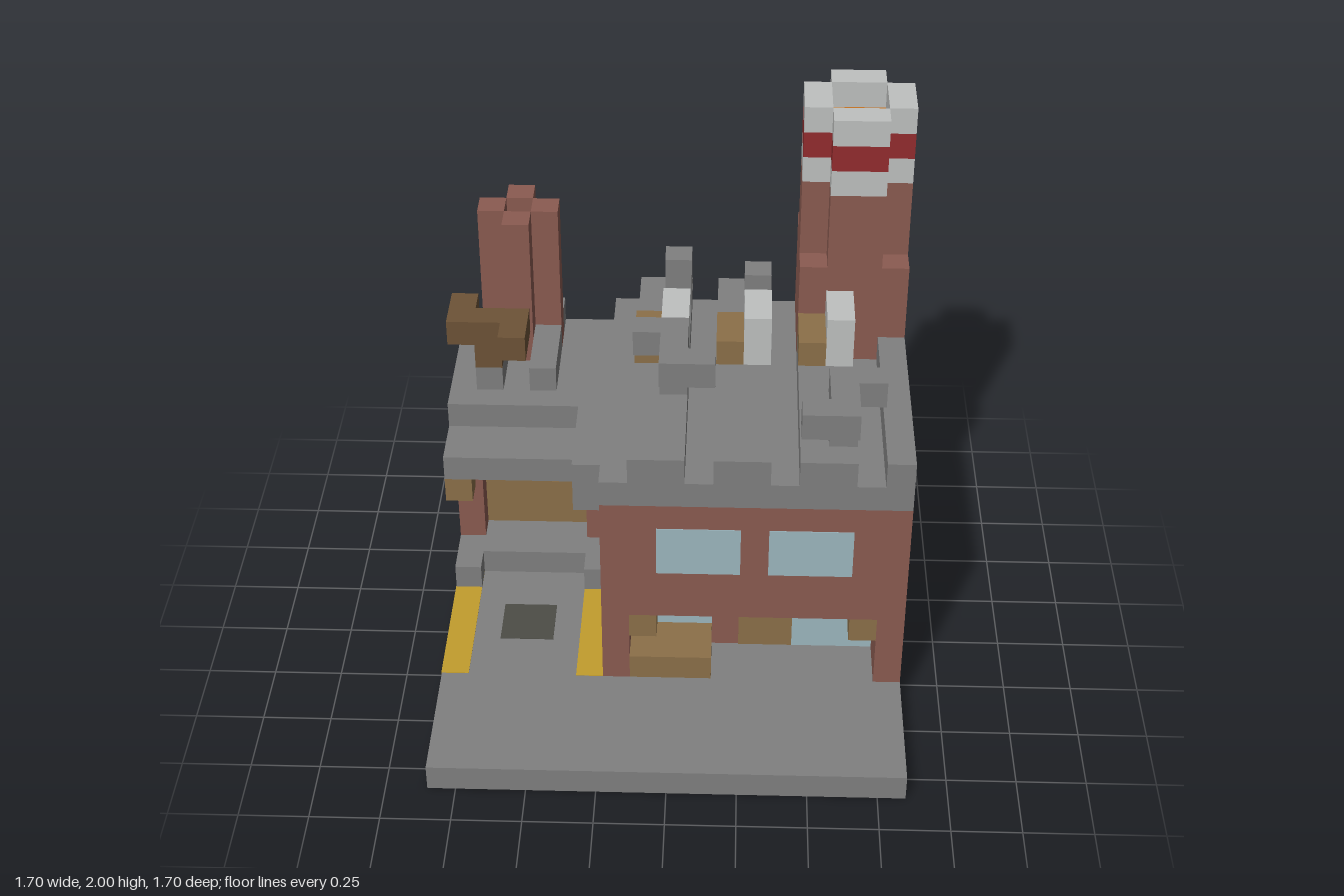
import * as THREE from 'three';

function mat(name, color) {
  const m = new THREE.MeshStandardMaterial({ color });
  m.name = name;
  return m;
}

export function createModel() {
  const root = new THREE.Group();
  root.name = 'factory';
  const grey = mat('concrete grey', 0x808080), brick = mat('brick', 0x8b5b51);
  const glass = mat('glass blue', 0x9db7bf), tan = mat('tan wood', 0x8c7049);
  const pale = mat('pale grey', 0xbfc1c0), red = mat('stripe red', 0x932c2e);
  const yellow = mat('line yellow', 0xc29d2d), orange = mat('glow orange', 0xc47222);
  const dark = mat('drain grey', 0x4d4d47), brown = mat('dark brown', 0x6d5337);

  // Box from its extents along x, y and z
  function box(name, m, x0, x1, y0, y1, z0, z1, parent = root) {
    const mesh = new THREE.Mesh(new THREE.BoxGeometry(x1 - x0, y1 - y0, z1 - z0), m);
    mesh.position.set((x0 + x1) / 2, (y0 + y1) / 2, (z0 + z1) / 2);
    mesh.name = name;
    parent.add(mesh);
    return mesh;
  }
  const group = (name) => {
    const g = new THREE.Group();
    g.name = name;
    root.add(g);
    return g;
  };
  const e = 0.002;

  // Ground slab with inlaid markings and floors that show underneath
  box('groundSlab', grey, -0.85, 0.85, 0, 0.1, -0.85, 0.85);
  box('outerYellowLine', yellow, -0.85 - e, -0.75, -e, 0.1 + e, -0.45, 0.35);
  box('innerYellowLine', yellow, -0.35, -0.25, -e, 0.1 + e, -0.45, 0.35);
  box('drainCover', dark, -0.65, -0.45, -e, 0.1 + e, -0.05, 0.15);
  box('hallFloor', brown, -0.25, 0.75, -e, 0.05, -0.75, 0.05);
  box('wingFloor', brown, -0.75, -0.25, -e, 0.05, -0.75, -0.45);
  box('dockFooting', tan, -0.15, 0.15, -e, 0.05, 0.05, 0.35);
  box('chimneyFooting', brick, 0.45, 0.75, -2 * e, 0.05, -0.75, -0.45);

  // Main hall with a recessed ground-floor front
  const hall = group('mainHall');
  box('hallBody', brick, -0.25, 0.85, 0.1, 0.9, -0.85, 0.15, hall);
  box('upperFront', brick, -0.25, 0.85, 0.4, 0.9, 0.15, 0.35, hall);
  box('leftPier', brick, 0.75, 0.85, 0.1, 0.4, 0.15, 0.35, hall);
  box('rightPier', brick, -0.25, -0.15, 0.1, 0.4, 0.15, 0.35, hall);
  for (const x of [-0.05, 0.35]) box('upperWindow', glass, x, x + 0.3, 0.6, 0.8, 0.348, 0.353, hall);
  for (const [x0, x1] of [[-0.15, 0.15], [0.45, 0.75]])
    box('shopWindow', glass, x0, x1, 0.1, 0.4, 0.148, 0.153, hall);
  box('transom', glass, 0.15, 0.45, 0.3, 0.4, 0.148, 0.153, hall);
  box('hallDoor', tan, 0.25, 0.45, 0.1, 0.3, 0.148, 0.153, hall);
  box('loadingDock', tan, -0.15, 0.15, 0.1, 0.2, 0.15, 0.35, hall);
  for (const x of [-0.15, 0.65]) box('openingBracket', tan, x, x + 0.1, 0.3, 0.4, 0.25, 0.35, hall);

  // Hall roof, its ribs and side overhang
  const roof = group('hallRoof');
  box('roofSlab', grey, -0.25, 0.45, 0.9, 1.0, -0.85, 0.35, roof);
  box('roofSlabFront', grey, 0.45, 0.85, 0.9, 1.0, -0.45, 0.35, roof);
  for (const [x0, x1, z0] of [[-0.15, 0.05, -0.85], [0.15, 0.35, -0.85], [0.45, 0.65, -0.45], [0.75, 0.85, -0.45]])
    box('roofRib', grey, x0, x1, 1.0, 1.1, z0, 0.35, roof);
  box('sideOverhang', grey, -0.35, -0.25, 0.8, 1.0, -0.35, 0.25, roof);

  // Roof vents: a low tan box beside a tall pale box
  for (const x of [-0.15, 0.15, 0.45]) {
    box('ventBox', tan, x, x + 0.1, 1.1, 1.2, -0.45, -0.25, roof);
    box('ventTower', pale, x + 0.1, x + 0.2, 1.1, 1.3, -0.45, -0.25, roof);
  }
  box('ventPost', grey, -0.05, 0.05, 1.1, 1.3, -0.75, -0.65, roof);
  box('ventPost', grey, 0.25, 0.35, 1.1, 1.3, -0.65, -0.55, roof);

  // Z-shaped roof ducts on a single leg; s flips the bend
  function duct(x, z, s) {
    const g = group('roofDuct');
    const tip = (dx, dz) => box('ductEnd', grey, x + dx - 0.05, x + dx + 0.05, 1.2, 1.3, z + dz - 0.05, z + dz + 0.05, g);
    box('ductRun', grey, x - 0.05, x + 0.05, 1.2, 1.3, z - 0.15, z + 0.15, g);
    tip(0.1, s * 0.1);
    tip(-0.1, -s * 0.1);
    box('ductLeg', grey, x - 0.05, x + 0.05, 1.1, 1.2, z - 0.05, z + 0.05, g);
  }
  duct(0, -0.1, 1);
  duct(0.6, 0.2, -1);

  // Side wing
  const wing = group('sideWing');
  box('wingBody', brick, -0.85, -0.25, 0.1, 0.8, -0.85, -0.45, wing);
  box('wingPier', brick, -0.85, -0.75, 0.1, 0.8, -0.45, -0.35, wing);
  box('wingPier', brick, -0.35, -0.25, 0.1, 0.8, -0.45, -0.35, wing);
  box('wingLintel', brick, -0.75, -0.35, 0.6, 0.8, -0.45, -0.35, wing);
  box('wingDoor', tan, -0.75, -0.35, 0.2, 0.4, -0.452, -0.447, wing);
  box('wingDoorTop', tan, -0.75, -0.55, 0.4, 0.5, -0.452, -0.447, wing);
  box('awning', pale, -0.75, -0.35, 0.5, 0.6, -0.45, -0.35, wing);
  box('wingStep', grey, -0.75, -0.35, 0.1, 0.2, -0.45, -0.25, wing);
  for (const x of [-0.85, -0.35]) {
    box('stepBlock', grey, x, x + 0.1, 0.1, 0.2, -0.35, -0.15, wing);
    box('eaveBracket', tan, x, x + 0.1, 0.6, 0.7, -0.15, -0.05, wing);
  }
  box('wingEave', grey, -0.85, -0.25, 0.7, 0.8, -0.35, -0.05, wing);
  box('wingRoof', grey, -0.85, -0.25, 0.8, 0.9, -0.85, -0.25, wing);
  for (const x of [-0.75, -0.55]) box('wingRoofRib', grey, x, x + 0.1, 0.9, 1.0, -0.85, -0.35, wing);

  // Bent brown pipe on the wing roof
  const pipe = group('brownPipe');
  box('pipeLeg', brown, -0.75, -0.65, 1.0, 1.1, -0.45, -0.35, pipe);
  box('pipeRun', brown, -0.85, -0.55, 1.1, 1.2, -0.45, -0.35, pipe);
  box('pipeEnd', brown, -0.85, -0.75, 1.1, 1.2, -0.55, -0.45, pipe);
  box('pipeEnd', brown, -0.65, -0.55, 1.1, 1.2, -0.35, -0.25, pipe);

  // Four walls in a cross around a square flue of half-width h
  function flue(name, m, x, z, h, y0, y1, parent) {
    for (const s of [-1, 1]) {
      const c = s * (h + 0.05);
      box(name, m, x + c - 0.05, x + c + 0.05, y0, y1, z - h, z + h, parent);
      box(name, m, x - h, x + h, y0, y1, z + c - 0.05, z + c + 0.05, parent);
    }
  }

  // Small chimney on the wing
  const small = group('smallChimney');
  flue('smallChimneyWall', brick, -0.6, -0.7, 0.05, 0.9, 1.5, small);
  box('smallChimneyGlow', orange, -0.65, -0.55, 0.9, 1.4, -0.75, -0.65, small);
  box('smallChimneyFoot', brick, -0.65, -0.55, 0.8, 0.9 + e, -0.85 - e, -0.75, small);

  // Tall striped chimney
  const tall = group('tallChimney');
  box('tallChimneyBase', brick, 0.45, 0.85, 0.9, 1.4, -0.85, -0.45, tall);
  for (const [name, m, y0, y1] of [['tallChimneyShaft', brick, 1.4, 1.7], ['lowerPaleBand', pale, 1.7, 1.8],
    ['redBand', red, 1.8, 1.9], ['upperPaleBand', pale, 1.9, 2.0]])
    flue(name, m, 0.65, -0.65, 0.1, y0, y1, tall);
  box('tallChimneyGlow', orange, 0.55, 0.75, 1.4, 1.9, -0.75, -0.55, tall);

  return root;
}
